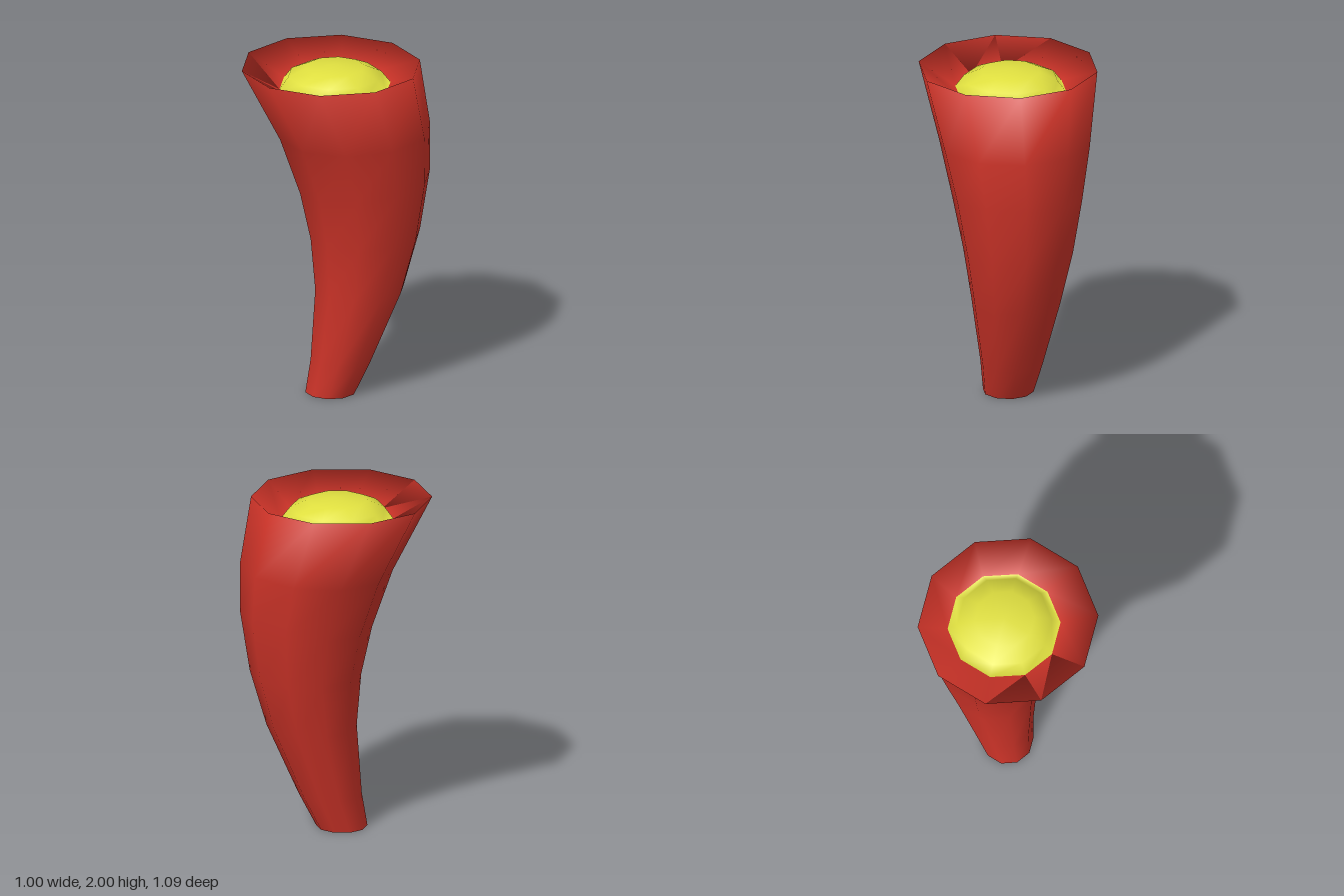
import * as THREE from 'three';

const SIDES = 10;

// Cross-sections from the foot up, over the rim, into the mouth and onto the dome:
// [min x, max x, min z, max z, y, tilt (height gained towards +x and -z)]
const SECTIONS = [
  [-0.145, 0.14, -0.125, 0.17, 0, 0],
  [-0.145, 0.205, -0.22, 0.145, 0.2, 0],
  [-0.165, 0.335, -0.39, 0.13, 0.62, 0],
  [-0.205, 0.405, -0.485, 0.16, 0.94, 0.01],
  [-0.26, 0.465, -0.54, 0.225, 1.265, 0.045],
  [-0.35, 0.495, -0.545, 0.335, 1.58, 0.02],
  [-0.5, 0.5, -0.5, 0.545, 2, 0],
  [-0.305, 0.315, -0.335, 0.32, 1.87, 0],
  [-0.255, 0.265, -0.28, 0.27, 1.94, 0],
  [-0.16, 0.17, -0.18, 0.17, 1.985, 0],
];
const DOME_START = 7;

export function createModel() {
  const red = new THREE.MeshStandardMaterial({ color: 0xcc3328 });
  red.name = 'red';
  const yellow = new THREE.MeshStandardMaterial({ color: 0xe0e040 });
  yellow.name = 'yellow';

  const model = new THREE.Group();
  model.name = 'curvedHorn';

  // Ten-sided rings joined into one smooth skin
  const positions = [];
  for (const [x0, x1, z0, z1, y, tilt] of SECTIONS) {
    const rx = (x1 - x0) / 2 / Math.sin(Math.PI * 0.4);
    const rz = (z1 - z0) / 2;
    for (let k = 0; k < SIDES; k++) {
      const a = (k / SIDES) * Math.PI * 2;
      const s = Math.sin(a);
      const c = Math.cos(a);
      positions.push((x0 + x1) / 2 + rx * s, y + tilt * (s - c) * 0.8, (z0 + z1) / 2 + rz * c);
    }
  }
  const apex = positions.length / 3;
  positions.push(0.005, 2, -0.005);

  const index = [];
  let redCount = 0;
  for (let i = 0; i < SECTIONS.length - 1; i++) {
    if (i === DOME_START) redCount = index.length;
    for (let k = 0; k < SIDES; k++) {
      const n = (k + 1) % SIDES;
      const a = i * SIDES + k;
      const b = i * SIDES + n;
      index.push(a, b, b + SIDES, a, b + SIDES, a + SIDES);
    }
  }
  // Top of the dome
  const last = (SECTIONS.length - 1) * SIDES;
  for (let k = 0; k < SIDES; k++) index.push(last + k, last + ((k + 1) % SIDES), apex);

  const skin = new THREE.BufferGeometry();
  skin.setAttribute('position', new THREE.Float32BufferAttribute(positions, 3));
  skin.setIndex(index);
  skin.computeVertexNormals();
  skin.addGroup(0, redCount, 0);
  skin.addGroup(redCount, index.length - redCount, 1);
  const horn = new THREE.Mesh(skin, [red, yellow]);
  horn.name = 'hornWithDome';
  model.add(horn);

  // Flat underside of the foot
  const capGeometry = new THREE.CircleGeometry(0.149, SIDES, Math.PI / 2);
  capGeometry.rotateX(Math.PI / 2);
  const cap = new THREE.Mesh(capGeometry, red);
  cap.name = 'footCap';
  cap.position.set(-0.0025, 0, 0.0225);
  model.add(cap);

  return model;
}
